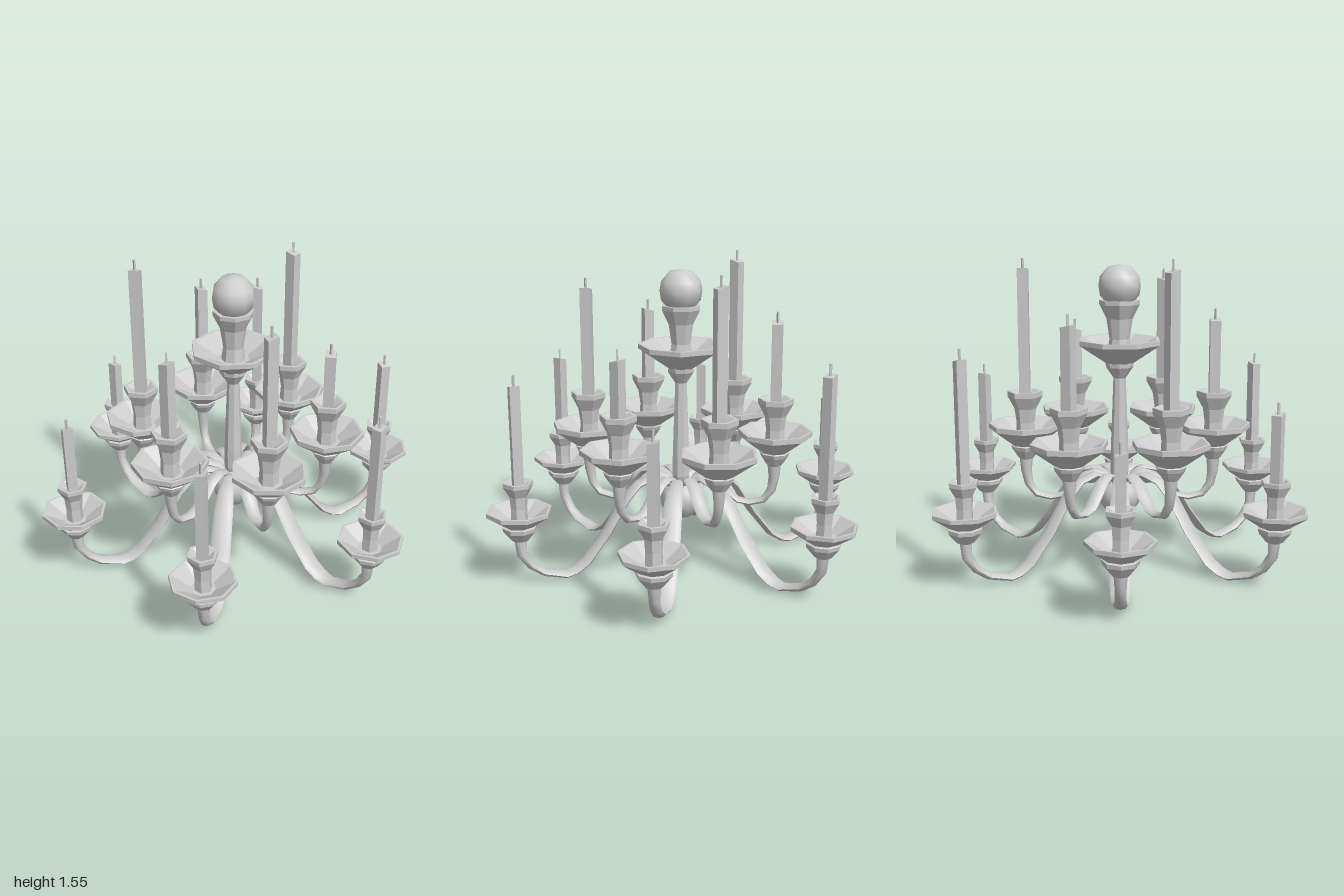
import * as THREE from 'three';
import { toCreasedNormals } from 'three/addons/utils/BufferGeometryUtils.js';

const smooth = new THREE.MeshStandardMaterial({ color: 0xcccccc });
const flat = new THREE.MeshStandardMaterial({ color: 0xcccccc, flatShading: true });

function add(parent, name, geometry, material = flat) {
  const mesh = new THREE.Mesh(geometry, material);
  mesh.name = name;
  parent.add(mesh);
  return mesh;
}

// Turned part: profile of [radius, y], outside from the bottom upwards
function turned(parent, name, profile, sides, material) {
  return add(parent, name,
    new THREE.LatheGeometry(profile.map(([r, y]) => new THREE.Vector2(r, y)), sides), material);
}

// Ribbon-like arm in the yz plane: stations of [z, y, halfWidth, halfThickness]
function armGeometry(stations, sides = 8) {
  const pos = [], index = [];
  stations.forEach(([z, y, w, t], i) => {
    const a = stations[Math.max(i - 1, 0)];
    const b = stations[Math.min(i + 1, stations.length - 1)];
    const len = Math.hypot(b[0] - a[0], b[1] - a[1]);
    const nz = -(b[1] - a[1]) / len, ny = (b[0] - a[0]) / len;
    for (let j = 0; j < sides; j++) {
      const ang = (j / sides) * Math.PI * 2;
      const n = Math.sin(ang) * t;
      pos.push(Math.cos(ang) * w, y + ny * n, z + nz * n);
    }
  });
  for (let i = 0; i < stations.length - 1; i++) {
    for (let j = 0; j < sides; j++) {
      const a = i * sides + j, b = i * sides + (j + 1) % sides;
      index.push(a, a + sides, b, b, a + sides, b + sides);
    }
  }
  // Make the winding face outward
  for (let k = 0; k < index.length; k += 3) [index[k + 1], index[k + 2]] = [index[k + 2], index[k + 1]];
  const g = new THREE.BufferGeometry();
  g.setAttribute('position', new THREE.Float32BufferAttribute(pos, 3));
  g.setIndex(index);
  return toCreasedNormals(g, 0.9);
}

// Square candle with a slightly slanted top and a thin wick
function addCandle(parent, radius, bottom, top) {
  const body = new THREE.CylinderGeometry(radius, radius, top - bottom, 4, 1, false, Math.PI / 4);
  body.translate(0, (top + bottom) / 2, 0);
  const p = body.attributes.position;
  for (let i = 0; i < p.count; i++) {
    if (p.getY(i) > top - 0.01) p.setY(i, top + p.getX(i) * 0.25);
  }
  add(parent, 'candle', body);
  const wick = new THREE.CylinderGeometry(0.007, 0.007, 0.07, 4);
  wick.translate(0, top + 0.018, 0);
  add(parent, 'wick', wick);
}

const ball = (y, r) => [[0, y - r], [0.55 * r, y - 0.9 * r], [0.93 * r, y - 0.45 * r], [r, y],
  [0.93 * r, y + 0.45 * r], [0.55 * r, y + 0.9 * r], [0, y + r]];

const lowerTier = {
  name: 'lower', radius: 0.84, offset: Math.PI / 6, candle: 0.034, candleBase: 0.4,
  tops: [0.95, 1.0, 0.89, 1.1, 0.77, 0.85],
  arm: [[0.05, 0.39, 0.02, 0.015], [0.08, 0.44, 0.025, 0.015], [0.14, 0.465, 0.03, 0.015],
    [0.23, 0.44, 0.04, 0.015], [0.3, 0.37, 0.048, 0.016], [0.4, 0.21, 0.052, 0.016],
    [0.51, 0.07, 0.05, 0.016], [0.57, 0.03, 0.047, 0.015], [0.62, 0.016, 0.042, 0.015],
    [0.73, 0.045, 0.032, 0.018], [0.79, 0.09, 0.027, 0.021], [0.835, 0.16, 0.026, 0.026],
    [0.84, 0.25, 0.032, 0.032]],
  collar: [[0.03, 0.23], [0.042, 0.235], [0.082, 0.285], [0.085, 0.305], [0.06, 0.315]],
  dish: [[0, 0.305], [0.07, 0.307], [0.16, 0.37], [0.16, 0.39], [0.148, 0.39], [0.06, 0.335], [0, 0.335]],
  cup: [[0.042, 0.33], [0.04, 0.4], [0.045, 0.46], [0.073, 0.51], [0.073, 0.53], [0.06, 0.53], [0, 0.49]],
};

const upperTier = {
  name: 'upper', radius: 0.472, offset: 0, candle: 0.037, candleBase: 0.72,
  tops: [1.235, 1.4, 1.135, 1.48, 1.255, 1.5],
  arm: [[0.04, 0.4, 0.02, 0.014], [0.07, 0.45, 0.025, 0.014], [0.12, 0.465, 0.032, 0.014],
    [0.18, 0.445, 0.036, 0.014], [0.24, 0.385, 0.036, 0.014], [0.29, 0.34, 0.033, 0.014],
    [0.35, 0.328, 0.028, 0.015], [0.42, 0.345, 0.024, 0.018], [0.46, 0.4, 0.023, 0.022],
    [0.472, 0.47, 0.027, 0.027], [0.472, 0.56, 0.036, 0.036]],
  collar: [[0.03, 0.53], [0.038, 0.535], [0.068, 0.58], [0.075, 0.6], [0.055, 0.615]],
  dish: [[0, 0.6], [0.07, 0.605], [0.185, 0.69], [0.185, 0.715], [0.172, 0.715], [0.07, 0.65], [0, 0.65]],
  cup: [[0.05, 0.64], [0.045, 0.72], [0.055, 0.79], [0.088, 0.852], [0.088, 0.877], [0.072, 0.877], [0, 0.83]],
};

// One ring of six arms, each with collar, drip dish, cup and candle
function addTier(model, tier) {
  const arm = armGeometry(tier.arm);
  tier.tops.forEach((top, k) => {
    const branch = new THREE.Group();
    branch.name = tier.name + 'Branch';
    branch.rotation.y = tier.offset + k * Math.PI / 3;
    add(branch, 'arm', arm, smooth);
    const holder = new THREE.Group();
    holder.name = 'candleHolder';
    holder.position.z = tier.radius;
    turned(holder, 'collar', tier.collar, 8);
    turned(holder, 'dripDish', tier.dish, 8);
    turned(holder, 'candleCup', tier.cup, 6);
    addCandle(holder, tier.candle, tier.candleBase, top);
    branch.add(holder);
    model.add(branch);
  });
}

export function createModel() {
  const model = new THREE.Group();
  model.name = 'chandelier';

  // Central column
  turned(model, 'lowerBall', ball(0.338, 0.104), 10, smooth);
  turned(model, 'shaft', [[0.03, 0.4], [0.045, 0.46], [0.045, 0.56], [0.03, 0.97]], 8);
  turned(model, 'columnCollar', [[0.028, 0.94], [0.035, 0.95], [0.068, 1.0], [0.07, 1.02], [0.05, 1.035]], 8);
  turned(model, 'columnDish', [[0, 1.01], [0.07, 1.02], [0.212, 1.115], [0.212, 1.138],
    [0.195, 1.138], [0.08, 1.075], [0, 1.075]], 8).rotation.y = Math.PI / 8;
  turned(model, 'columnCup', [[0.06, 1.07], [0.05, 1.14], [0.065, 1.24], [0.1, 1.31],
    [0.1, 1.33], [0.085, 1.33], [0, 1.3]], 8);
  turned(model, 'topBall', ball(1.4, 0.104), 10, smooth);

  addTier(model, lowerTier);
  addTier(model, upperTier);
  return model;
}
